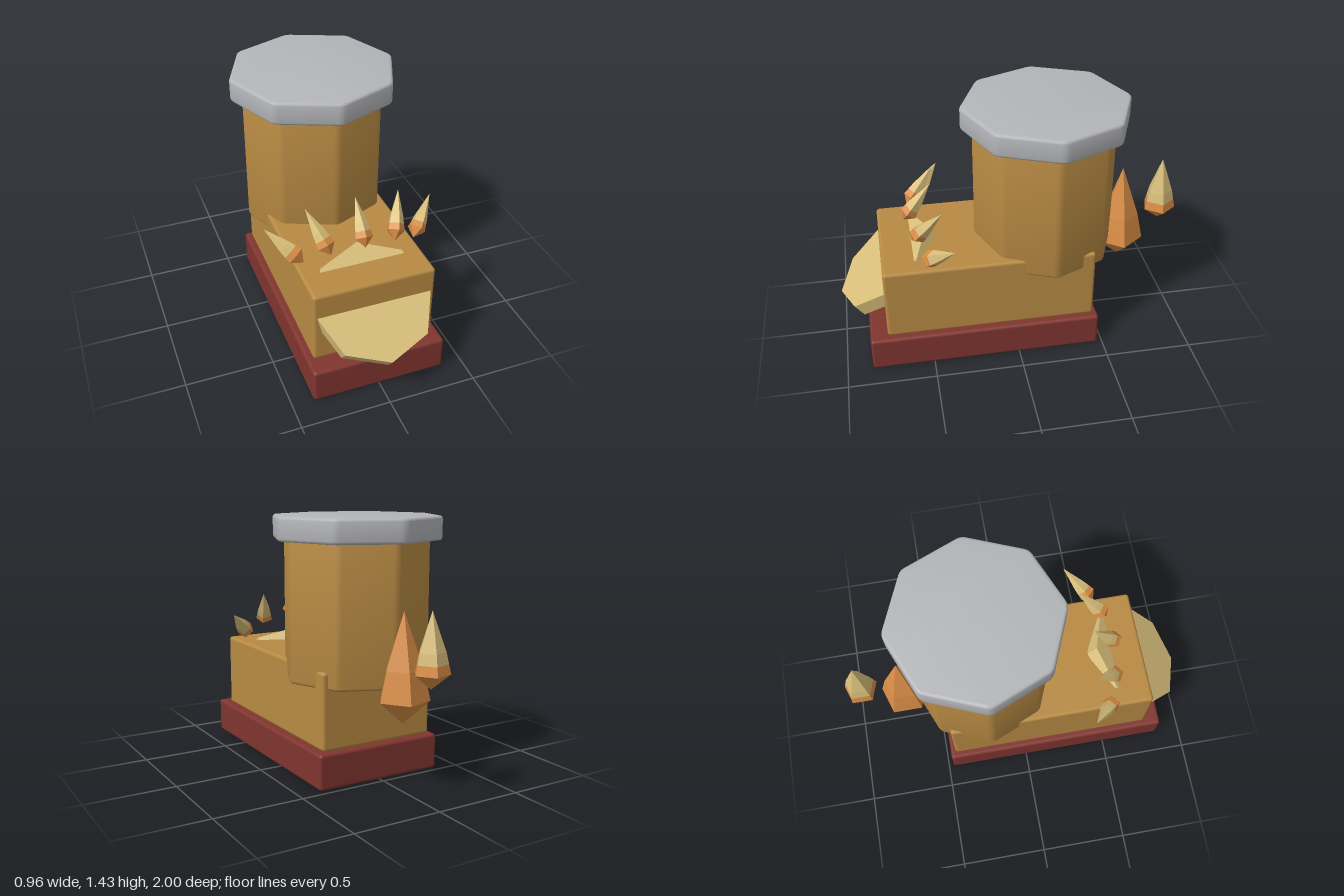
import * as THREE from 'three';
import { toCreasedNormals } from 'three/addons/utils/BufferGeometryUtils.js';
import { RoundedBoxGeometry } from 'three/addons/geometries/RoundedBoxGeometry.js';

const paint = (name, color) => {
  const m = new THREE.MeshStandardMaterial({ color });
  m.name = name;
  return m;
};

// Facet every face of a geometry
function faceted(geometry) {
  const g = geometry.toNonIndexed();
  g.computeVertexNormals();
  return g;
}

// Upright octagonal block with softened corners and rims, standing on y = 0
function octagonBlock(radius, height, bevel) {
  const corner = i => new THREE.Vector2(
    radius * Math.cos(i * Math.PI / 4), radius * Math.sin(i * Math.PI / 4));
  const shape = new THREE.Shape();
  for (let i = 0; i < 8; i++) {
    const c = corner(i);
    const a = c.clone().lerp(corner(i + 7), 0.08);
    const b = c.clone().lerp(corner(i + 1), 0.08);
    if (i === 0) shape.moveTo(a.x, a.y);
    else shape.lineTo(a.x, a.y);
    shape.quadraticCurveTo(c.x, c.y, b.x, b.y);
  }
  shape.closePath();
  const g = new THREE.ExtrudeGeometry(shape, {
    depth: height - 2 * bevel, bevelThickness: bevel, bevelSize: bevel,
    bevelOffset: -bevel, bevelSegments: 3, curveSegments: 4,
  });
  g.translate(0, 0, bevel);
  g.rotateX(-Math.PI / 2);
  return toCreasedNormals(g, 0.6);
}

// Five-sided spindle: [radius, height] profile stretched to size
function spindle(profile, radius, length, phi) {
  const points = profile.map(([r, y]) => new THREE.Vector2(r * radius, y * length));
  return faceted(new THREE.LatheGeometry(points, 5, phi));
}

const BUTT = [[0, 0], [1, 0.2], [0.875, 0.33]];
const TIP = [[0.875, 0.33], [0.74, 0.48], [0, 1]];
const WHOLE = [[0, 0], [1, 0.215], [0.74, 0.49], [0, 1]];

export function createModel() {
  const model = new THREE.Group();
  const gold = paint('gold', 0xb88a43);
  const red = paint('darkRed', 0x80352f);
  const grey = paint('grey', 0xb4b5b8);
  const pale = paint('paleYellow', 0xd8be7a);
  const orange = paint('orange', 0xd88d45);

  const add = (name, geometry, material, x, y, z, parent = model) => {
    const mesh = new THREE.Mesh(geometry, material);
    mesh.name = name;
    mesh.position.set(x, y, z);
    parent.add(mesh);
    return mesh;
  };

  // Base and body
  add('base', new RoundedBoxGeometry(0.76, 0.2, 1.325, 3, 0.018), red, 0, 0.1, 0.192);
  add('body', new RoundedBoxGeometry(0.69, 0.43, 1.195, 3, 0.018), gold, 0, 0.417, 0.157);

  // Tower and its cap
  add('tower', octagonBlock(0.412, 0.78, 0.015), gold, 0, 0.535, -0.205);
  add('towerCap', octagonBlock(0.478, 0.13, 0.016), grey, 0, 1.3, -0.207);

  // Tilted eight-sided plate running through the body
  const plate = add('jawPlate', faceted(new THREE.CylinderGeometry(0.331, 0.331, 0.082, 8)),
    pale, 0, 0.468, 0.715);
  plate.rotation.x = 0.667;

  // Two-tone spike from its butt point to its tip
  const spike = (name, from, to, radius, phi) => {
    const start = new THREE.Vector3(...from);
    const axis = new THREE.Vector3(...to).sub(start);
    const length = axis.length();
    const group = new THREE.Group();
    group.name = name;
    group.position.copy(start);
    group.quaternion.setFromUnitVectors(new THREE.Vector3(0, 1, 0), axis.normalize());
    add('spikeButt', spindle(BUTT, radius, length, phi), orange, 0, 0, 0, group);
    add('spikeTip', spindle(TIP, radius, length, phi), pale, 0, 0, 0, group);
    model.add(group);
  };

  // Fan of crest spikes
  spike('crestSpikeMiddle', [0, 0.757, 0.605], [0, 0.977, 0.445], 0.051, 0);
  for (const [side, s] of [['Left', 1], ['Right', -1]]) {
    spike('crestSpikeInner' + side, [s * 0.18, 0.735, 0.575], [s * 0.265, 0.94, 0.408], 0.051, 0);
    spike('crestSpikeOuter' + side, [s * 0.315, 0.685, 0.525], [s * 0.48, 0.835, 0.368], 0.051, 0);
  }

  // Tail: a large plain spindle and a smaller two-tone one behind it
  add('tailSpindle', spindle(WHOLE, 0.142, 0.595, Math.PI / 2), orange, 0, 0.37, -0.672);
  spike('tailTip', [0, 0.605, -0.907], [0, 1.0, -0.907], 0.097, Math.PI / 2);

  return model;
}
